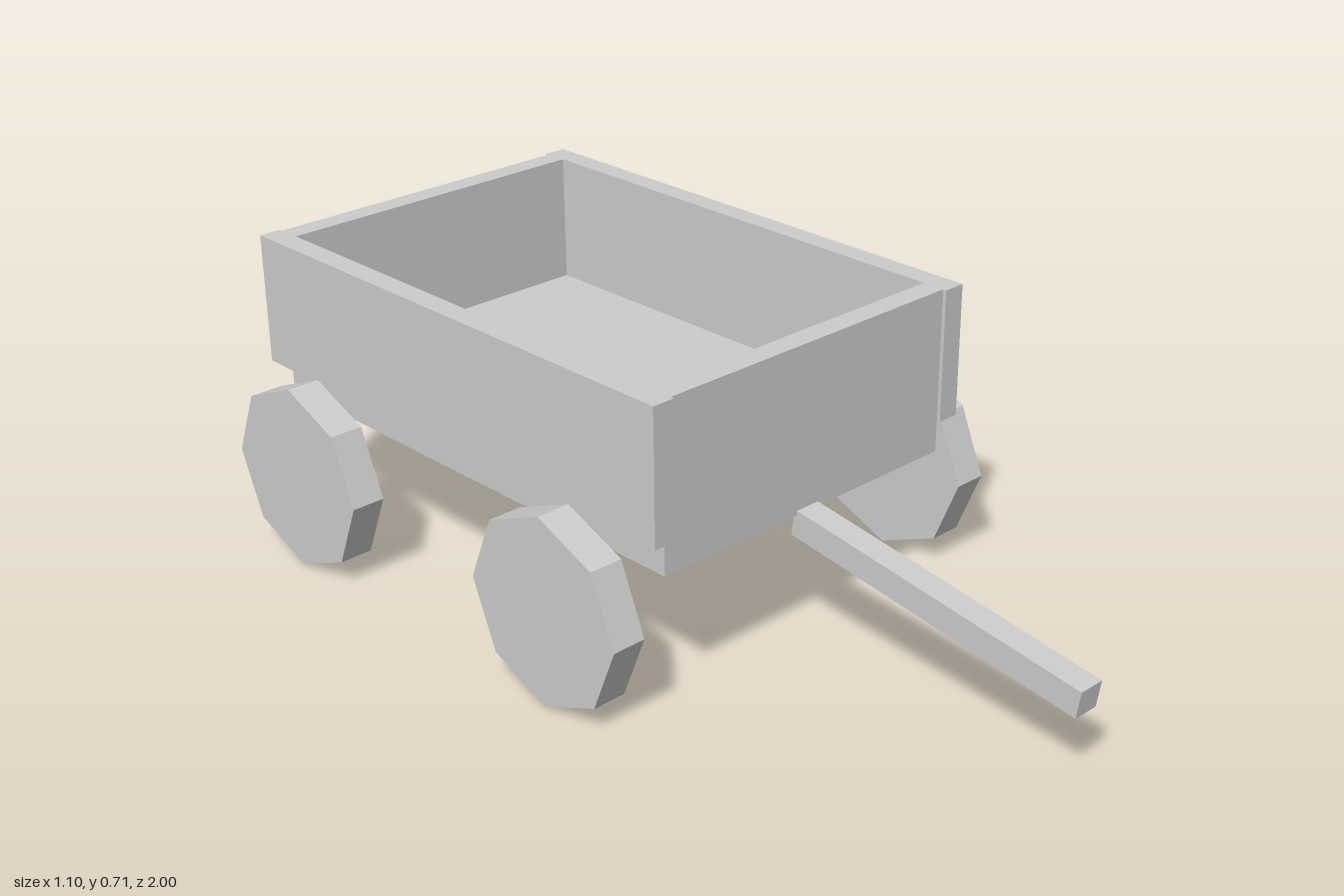
import * as THREE from 'three';

export function createModel() {
  const wagon = new THREE.Group();
  wagon.name = 'wagon';
  const grey = new THREE.MeshStandardMaterial({ color: 0xcccccc, flatShading: true });
  grey.name = 'lightGrey';

  const add = (name, geometry, x, y, z) => {
    const mesh = new THREE.Mesh(geometry, grey);
    mesh.name = name;
    mesh.position.set(x, y, z);
    wagon.add(mesh);
    return mesh;
  };

  const midZ = -0.357; // middle of the bed along its length
  const wallHeight = 0.303, wallY = 0.5555;

  // Floor slab under the walls
  add('bedFloor', new THREE.BoxGeometry(0.806, 0.08, 1.249), 0, 0.364, midZ);

  // Long side walls overlap the ends slightly
  for (const [side, s] of [['left', 1], ['right', -1]]) {
    add(side + 'Wall', new THREE.BoxGeometry(0.053, wallHeight, 1.286), s * 0.418, wallY, midZ);
  }

  // End walls fit between the side walls
  for (const [end, s] of [['front', 1], ['back', -1]]) {
    add(end + 'Wall', new THREE.BoxGeometry(0.783, wallHeight, 0.053), 0, wallY, midZ + s * 0.608);
  }

  // Eight-sided wheels with a corner pointing up
  const wheel = new THREE.CylinderGeometry(0.216, 0.216, 0.079, 8).rotateZ(Math.PI / 2);
  for (const [end, z] of [['front', 0.066], ['back', -0.777]]) {
    for (const [side, s] of [['Left', 1], ['Right', -1]]) {
      add(end + side + 'Wheel', wheel, s * 0.5115, 0.218, z);
    }
  }

  // Pull handle sloping down to the front
  add('handle', new THREE.BoxGeometry(0.062, 0.062, 0.748), 0, 0.249, 0.626).rotation.x = 0.149;

  return wagon;
}
